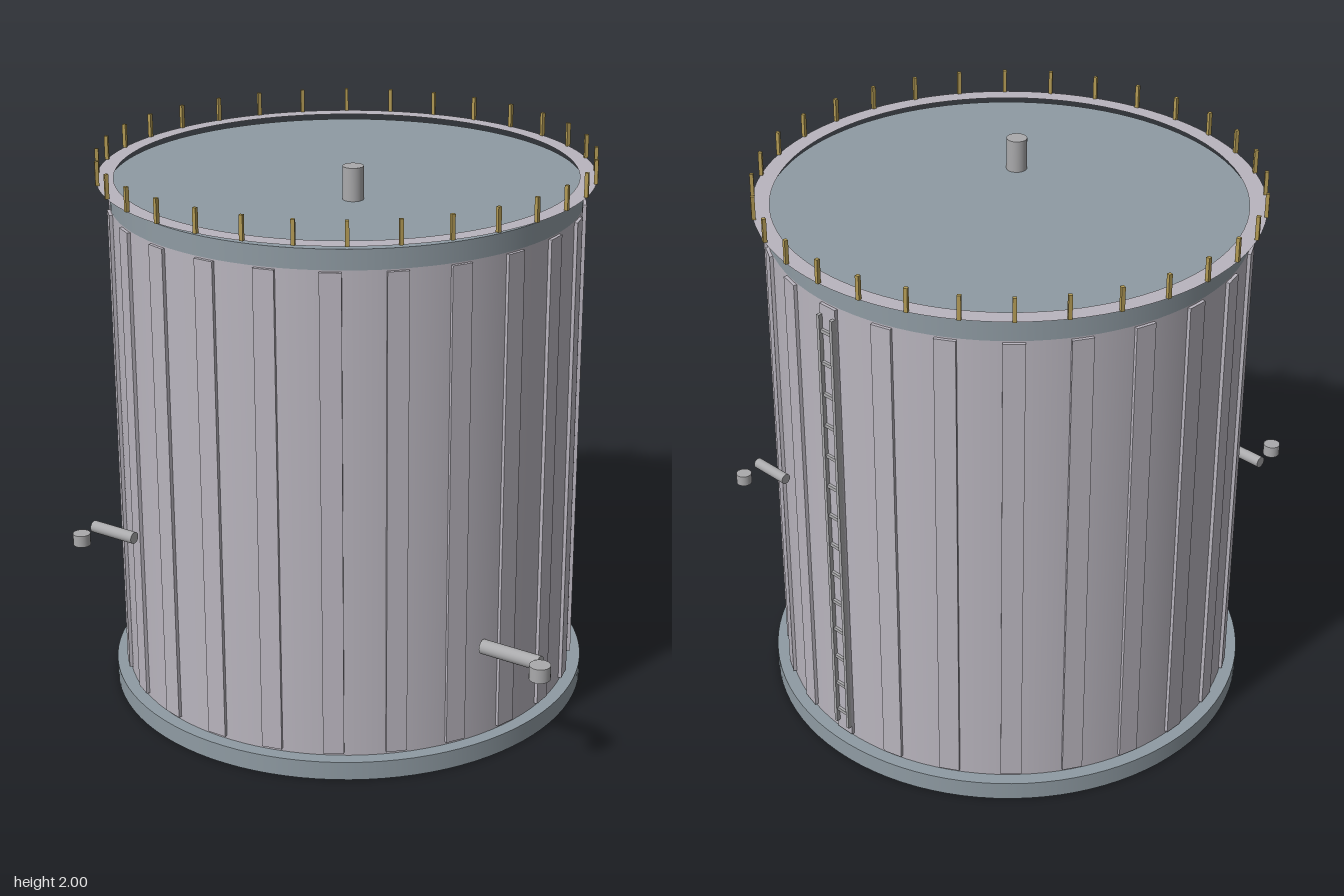
import * as THREE from 'three';

const mat = (color, extra = {}) => new THREE.MeshStandardMaterial({ color, ...extra });
const wall = mat(0xb9b5be);
const slab = mat(0x8f9ba3);
const metal = mat(0xaaaaac);
const brass = mat(0xb39b55);

function add(parent, name, geometry, material, x = 0, y = 0, z = 0) {
  const mesh = new THREE.Mesh(geometry, material);
  mesh.name = name;
  mesh.position.set(x, y, z);
  parent.add(mesh);
  return mesh;
}

// upright cylinder between two heights
function drum(parent, name, r, y0, y1, material, x = 0, z = 0, sides = 96) {
  return add(parent, name, new THREE.CylinderGeometry(r, r, y1 - y0, sides), material, x, (y0 + y1) / 2, z);
}

// repeats one box around the tank axis, turned to face outward
function boxesAround(parent, name, count, radius, size, y, material) {
  const group = new THREE.Group();
  group.name = name + 's';
  const geometry = new THREE.BoxGeometry(...size);
  for (let i = 0; i < count; i++) {
    const a = (i / count) * Math.PI * 2;
    const box = add(group, name, geometry, material, Math.sin(a) * radius, y, Math.cos(a) * radius);
    box.rotation.y = a;
  }
  parent.add(group);
}

// horizontal pipe along x with a short upright end piece beside it
function nozzle(parent, name, x0, x1, y, z, r, endX, endZ, endR) {
  const group = new THREE.Group();
  group.name = name;
  const pipe = add(group, 'pipe', new THREE.CylinderGeometry(r, r, x1 - x0, 24), metal, (x0 + x1) / 2, y, z);
  pipe.rotation.z = Math.PI / 2;
  drum(group, 'pipeEnd', endR, y - r, y + r, metal, endX, endZ, 24);
  parent.add(group);
}

export function createModel() {
  const model = new THREE.Group();
  model.name = 'storageTank';

  // tank, off-centre because of the projecting pipe
  const tank = new THREE.Group();
  tank.name = 'tank';
  tank.position.set(-0.095, 0, 0.015);
  model.add(tank);

  drum(tank, 'base', 0.868, 0, 0.068, slab);
  drum(tank, 'shell', 0.82, 0.068, 1.815, wall);
  drum(tank, 'roof', 0.82, 1.815, 1.885, slab);
  boxesAround(tank, 'rib', 24, 0.82, [0.072, 1.73, 0.022], 0.945, wall);

  // thin walkway ring with railing posts
  const ring = add(tank, 'walkway', new THREE.RingGeometry(0.805, 0.865, 96),
    mat(0xb9b5be, { side: THREE.DoubleSide }), 0, 1.908, 0);
  ring.rotation.x = -Math.PI / 2;
  boxesAround(tank, 'railingPost', 32, 0.863, [0.013, 0.085, 0.013], 1.95, brass);

  // ladder up the back
  const ladder = new THREE.Group();
  ladder.name = 'ladder';
  ladder.position.z = -0.835;
  tank.add(ladder);
  for (const s of [-1, 1]) {
    add(ladder, 'rail', new THREE.BoxGeometry(0.012, 1.66, 0.022), metal, s * 0.03, 0.945, 0);
  }
  for (let i = 0; i < 14; i++) {
    add(ladder, 'rung', new THREE.BoxGeometry(0.06, 0.012, 0.012), metal, 0, 0.17 + i * 0.119, 0);
  }

  // roof vent and pipes
  drum(model, 'vent', 0.036, 1.88, 2, metal, 0.067, 0.22, 32);
  nozzle(model, 'leftPipe', 0.67, 0.895, 0.418, 0.335, 0.026, 0.923, 0.387, 0.037);
  nozzle(model, 'frontPipe', -0.645, -0.465, 0.72, 0.8, 0.021, -0.615, 0.903, 0.03);
  nozzle(model, 'backPipe', 0.155, 0.3, 1.04, -0.817, 0.018, 0.265, -0.91, 0.026);

  return model;
}
